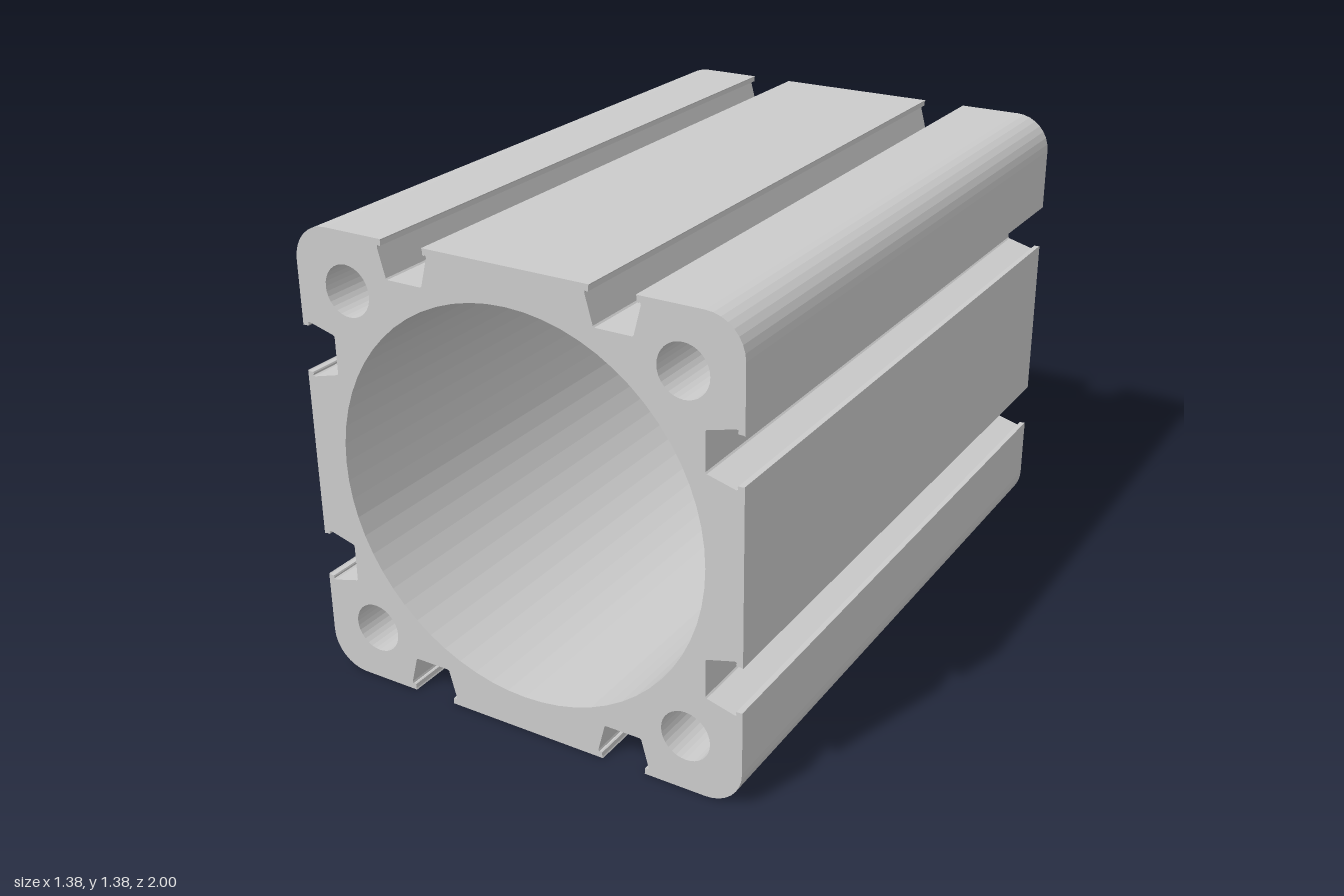
import * as THREE from 'three';

const HALF = 0.692;    // half width of the square section
const LENGTH = 2;
const CORNER = 0.11;   // corner radius
const SLOT_AT = 0.324; // slot offset from the centre line

// Right half of a slot: [half width, depth], from the lip to the floor
const SLOT = [[0.067, 0], [0.069, 0.004], [0.069, 0.018], [0.073, 0.02], [0.079, 0.018], [0.081, 0.024], [0.059, 0.106], [0.055, 0.11]];

function arc(cx, cy, r, start, sweep, segments, closed = false) {
  const pts = [];
  for (let i = 0; i < segments + (closed ? 0 : 1); i++) {
    const a = start + (sweep * i) / segments;
    pts.push(new THREE.Vector2(cx + r * Math.cos(a), cy + r * Math.sin(a)));
  }
  return pts;
}

const circle = (x, y, r, segments) => new THREE.Path(arc(x, y, r, 0, Math.PI * 2, segments, true));

// Top edge running right to left, with two slots and the left corner
function sidePoints() {
  const pts = [];
  for (const cx of [SLOT_AT, -SLOT_AT]) {
    for (const [w, d] of SLOT) pts.push(new THREE.Vector2(cx + w, HALF - d));
    for (const [w, d] of [...SLOT].reverse()) pts.push(new THREE.Vector2(cx - w, HALF - d));
  }
  const c = HALF - CORNER;
  return pts.concat(arc(-c, c, CORNER, Math.PI / 2, Math.PI / 2, 8));
}

export function createModel() {
  const group = new THREE.Group();
  group.name = 'slottedCylinderTube';

  // Outline: the same side repeated four times
  const outline = [];
  const origin = new THREE.Vector2();
  for (let k = 0; k < 4; k++) {
    for (const p of sidePoints()) outline.push(p.rotateAround(origin, (k * Math.PI) / 2));
  }
  const section = new THREE.Shape(outline);

  // Central bore and four tie rod holes
  section.holes.push(circle(0, 0, 0.582, 64));
  for (const sx of [-1, 1]) {
    for (const sy of [-1, 1]) section.holes.push(circle(sx * 0.521, sy * 0.523, 0.075, 32));
  }

  const geometry = new THREE.ExtrudeGeometry(section, { depth: LENGTH, bevelEnabled: false, steps: 1 });
  geometry.translate(0, HALF, -LENGTH / 2);

  const barrel = new THREE.Mesh(geometry, new THREE.MeshStandardMaterial({ color: 0xcccccc }));
  barrel.name = 'extrudedBarrel';
  group.add(barrel);
  return group;
}
